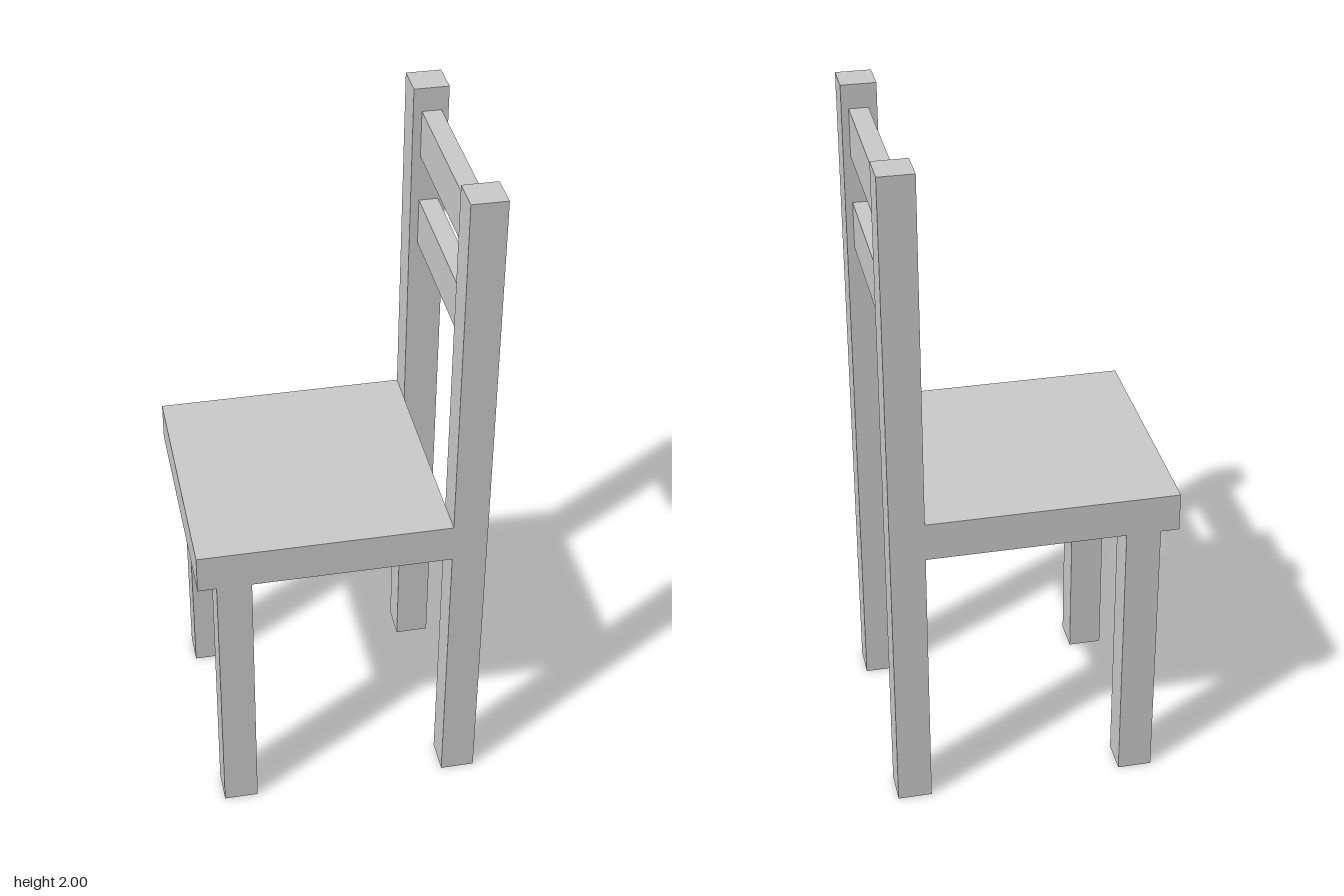
import * as THREE from 'three';

export function createModel() {
  const root = new THREE.Group();
  root.name = 'chair';
  const material = new THREE.MeshStandardMaterial({ color: 0xcccccc, flatShading: true });

  // The chair is built square to its own axes (backrest towards +x), then turned
  const chair = new THREE.Group();
  chair.name = 'turnedChair';
  chair.position.set(-0.046, 0, -0.02);
  chair.rotation.y = THREE.MathUtils.degToRad(-25);
  root.add(chair);

  // Box given by its centre in plan and its bottom and top heights
  function addBox(name, x, z, width, depth, bottom, top) {
    const mesh = new THREE.Mesh(new THREE.BoxGeometry(width, top - bottom, depth), material);
    mesh.name = name;
    mesh.position.set(x, (bottom + top) / 2, z);
    chair.add(mesh);
  }

  const post = 0.1;      // side of the square legs
  const seat = 0.727;    // side of the square seat
  const legZ = (seat - post) / 2;
  const backX = (seat + post) / 2;

  addBox('seat', 0, 0, seat, seat, 0.845, 0.96);

  // Short front legs, flush with the seat sides, and full-height back posts
  for (const side of [-1, 1]) {
    addBox('frontLeg', -0.26, side * legZ, post, post, 0, 0.845);
    addBox('backPost', backX, side * legZ, post, post, 0, 2);
  }

  // Backrest slats between the posts
  for (const bottom of [1.51, 1.79]) {
    addBox('backSlat', backX + 0.002, 0, 0.055, seat - 2 * post, bottom, bottom + 0.14);
  }

  return root;
}
